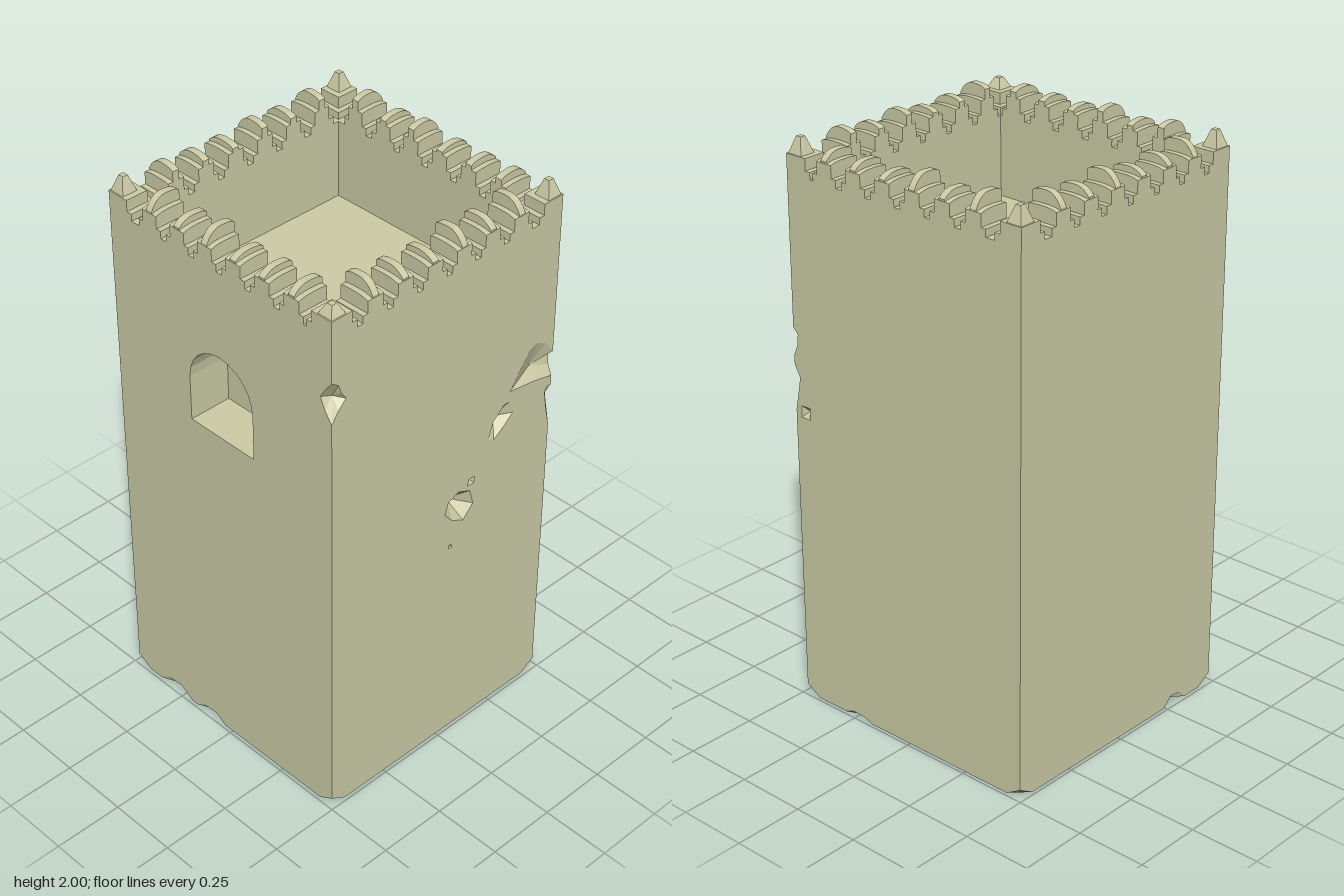
import * as THREE from 'three';

const S = 0.488, IN = 0.377, TOP = 1.88, FLOOR = 1.6;
const stone = new THREE.MeshStandardMaterial({ color: 0xcccca6, flatShading: true, side: THREE.DoubleSide });

// maps from 2D face coordinates to the sides of the tower
const onFront = ([u, v]) => [u, v, S];
const onBack = ([u, v]) => [u, v, -S];
const onRight = ([u, v]) => [S, v, u];
const onLeft = ([u, v]) => [-S, v, u];
const onFloor = ([u, v]) => [u, 0, v];

function createMesh(name, geo) {
  const m = new THREE.Mesh(geo, stone);
  m.name = name;
  return m;
}

// flat polygon with holes, laid onto a side
function panel(name, outline, holes, map) {
  const v2 = (a) => a.map(([x, y]) => new THREE.Vector2(x, y));
  const shape = new THREE.Shape(v2(outline));
  shape.holes = holes.map((h) => new THREE.Path(v2(h)));
  const geo = new THREE.ShapeGeometry(shape);
  const p = geo.attributes.position;
  for (let i = 0; i < p.count; i++) p.setXYZ(i, ...map([p.getX(i), p.getY(i)]));
  geo.computeVertexNormals();
  return createMesh(name, geo);
}

// broken-out hollow: closed rim sinking in two rings to a deepest point
function hollow(name, rim, deep) {
  const pos = [], n = rim.length;
  const mid = rim.map((r) => r.map((c, k) => c + (deep[k] - c) * 0.6));
  for (let i = 0; i < n; i++) {
    const j = (i + 1) % n;
    pos.push(...rim[i], ...rim[j], ...mid[j], ...rim[i], ...mid[j], ...mid[i], ...mid[i], ...mid[j], ...deep);
  }
  const geo = new THREE.BufferGeometry();
  geo.setAttribute('position', new THREE.Float32BufferAttribute(pos, 3));
  geo.computeVertexNormals();
  return createMesh(name, geo);
}

// outline across the wall thickness, extruded to the given width
function ridge(name, w, y0, y1, inner, outer) {
  const h = (S - IN) / 2;
  const s = new THREE.Shape();
  s.moveTo(-h, y0);
  s.lineTo(h, y0);
  s.lineTo(h, y1 - outer);
  s.quadraticCurveTo(h * 0.6, y1, 0, y1);
  s.quadraticCurveTo(-h * 0.8, y1, -h, y1 - inner);
  const geo = new THREE.ExtrudeGeometry(s, { depth: w, bevelEnabled: false, curveSegments: 5 });
  geo.translate(0, 0, -w / 2).rotateY(-Math.PI / 2);
  return createMesh(name, geo);
}

// stepped merlon crossing the wall, outward along +z
function merlon(top) {
  const g = new THREE.Group();
  g.name = 'merlon';
  const base = createMesh('merlonBase', new THREE.BoxGeometry(0.1, 0.026, S - IN));
  base.position.y = TOP + 0.013;
  g.add(base, ridge('merlonStep', 0.063, 1.905, 1.957, 0.004, 0.008),
    ridge('merlonFin', 0.025, 1.95, top, 0.012, top - 1.956));
  return g;
}

export function createModel() {
  const tower = new THREE.Group();
  tower.name = 'tower';
  const body = new THREE.Group();
  body.name = 'body';
  tower.add(body);
  const c = 0.43, ch = 0.035;

  // corner damage: rim points on the front and on the adjoining side, bottom to top
  const rightHigh = {
    front: [[S, 1.265], [0.4, 1.285], [0.29, 1.3], [0.33, 1.36], [0.38, 1.42], [0.41, 1.43], [0.45, 1.41], [S, 1.36]],
    side: [[0.472, 1.3], [0.468, 1.34]], deep: [0.42, 1.32, 0.45]
  };
  const rightLow = {
    front: [[S, 1.07], [0.472, 1.14], [0.46, 1.21], [0.475, 1.235], [S, 1.23]],
    side: [[0.472, 1.15], [0.465, 1.19]], deep: [0.47, 1.18, 0.47]
  };
  const leftNotch = {
    front: [[-S, 1.58], [-0.46, 1.62], [-0.43, 1.65], [-0.45, 1.68], [-0.46, 1.71], [-S, 1.73]],
    side: [[0.46, 1.62], [0.44, 1.66], [0.465, 1.7]], deep: [-0.455, 1.655, 0.455]
  };
  const cornerHollow = (d, map) => body.add(hollow('cornerDamage',
    [...d.front.map(onFront), ...[...d.side].reverse().map(map)], d.deep));
  cornerHollow(rightHigh, onRight);
  cornerHollow(rightLow, onRight);
  cornerHollow(leftNotch, onLeft);
  const sideRim = (d) => [[S, d.front[0][1]], ...d.side, [S, d.front.at(-1)[1]]];

  // pits in the flat of the walls
  const pits = [
    [[0.2, 1.16], [0.22, 1.22], [0.27, 1.262], [0.292, 1.262], [0.31, 1.21], [0.27, 1.175], [0.225, 1.145]],
    [[0.01, 0.955], [0.025, 1.0], [0.07, 1.018], [0.122, 0.995], [0.14, 0.935], [0.095, 0.89], [0.045, 0.915]],
    [[0.11, 1.02], [0.118, 1.043], [0.143, 1.045], [0.14, 1.018]],
    [[0.032, 0.803], [0.032, 0.817], [0.047, 0.817], [0.047, 0.803]]
  ];
  const sidePit = [[0.425, 1.05], [0.425, 1.092], [0.462, 1.09], [0.464, 1.05]];
  const mean = (a, k) => a.reduce((t, p) => t + p[k], 0) / a.length;
  pits.forEach((p, i) => body.add(hollow('pit', p.map(onFront),
    [mean(p, 0), mean(p, 1), S - [0.035, 0.06, 0.02, 0.015][i]])));
  body.add(hollow('pit', sidePit.map(onRight), [S - 0.02, mean(sidePit, 1), mean(sidePit, 0)]));

  // chips along the bottom edges: centre, half width, height
  const chip = (u, w, h) => [[u - w, 0], [u - w * 0.55, h * 0.8], [u + w * 0.4, h], [u + w, 0]];
  const chips = {
    left: [chip(-0.29, 0.08, 0.035), chip(-0.11, 0.07, 0.028)],
    right: [chip(0.24, 0.06, 0.015)],
    back: [chip(-0.3, 0.055, 0.035)]
  };
  const inset = 0.05;
  const addChip = (p, map, floor) => {
    const under = [floor(p[2][0]), floor(p[1][0])];
    const a = map([mean(p, 0), p[2][1] * 0.5]);
    body.add(hollow('bottomChip', [...p.map(map), ...under.map(onFloor)],
      [a[0] * 0.96, a[1], a[2] * 0.96]));
  };
  chips.left.forEach((p) => addChip(p, onLeft, (u) => [-S + inset, u]));
  chips.right.forEach((p) => addChip(p, onRight, (u) => [S - inset * 0.5, u]));
  chips.back.forEach((p) => addChip(p, onBack, (u) => [u, -S + inset]));

  // outer walls
  const wall = (bottom, plus, minus) => [[-S, ch], [-c, 0], ...bottom.flat(), [c, 0], [S, ch],
    ...plus, [S, TOP], [-S, TOP], ...minus];
  body.add(panel('frontWall', wall([], [...rightLow.front, ...rightHigh.front], [...leftNotch.front].reverse()), pits, onFront));
  body.add(panel('rightWall', wall(chips.right, [...sideRim(rightLow), ...sideRim(rightHigh)], []), [sidePit], onRight));
  body.add(panel('backWall', wall(chips.back, [], []), [], onBack));

  // arched window niche in the left wall
  const arch = [[-0.143, 1.26], [0.143, 1.26]];
  for (let i = 0; i <= 12; i++) {
    const a = (i / 12) * Math.PI;
    arch.push([0.143 * Math.cos(a), 1.425 + 0.143 * Math.sin(a)]);
  }
  const depth = 0.155;
  body.add(panel('leftWall', wall(chips.left, sideRim(leftNotch), []), [arch], onLeft));
  body.add(panel('windowBack', arch, [], ([u, v]) => [-S + depth, v, u]));
  const jamb = [];
  arch.forEach(([u, v], i) => {
    const [p, q] = arch[(i + 1) % arch.length];
    const a = [-S, v, u], b = [-S, q, p], d = [-S + depth, q, p], e = [-S + depth, v, u];
    jamb.push(...a, ...b, ...d, ...a, ...d, ...e);
  });
  const jambGeo = new THREE.BufferGeometry();
  jambGeo.setAttribute('position', new THREE.Float32BufferAttribute(jamb, 3));
  jambGeo.computeVertexNormals();
  body.add(createMesh('windowReveal', jambGeo));

  // underside with cut corners
  const b = S - inset;
  const underside = [[-c, S], [c, S], [S, c], [S, 0.3], [S - inset / 2, 0.264], [S - inset / 2, 0.207], [S, 0.18],
    [S, -c], [c, -S], [-0.245, -S], [-0.278, -b], [-0.33, -b], [-0.355, -S], [-c, -S], [-S, -c]];
  chips.left.forEach((p) => underside.push([-S, p[0][0]], [-b, p[1][0]], [-b, p[2][0]], [-S, p[3][0]]));
  underside.push([-S, c]);
  body.add(panel('underside', underside, [], onFloor));
  for (const x of [-1, 1]) for (const z of [-1, 1]) {
    body.add(hollow('cutCorner', [[x * S, ch, z * S], [x * c, 0, z * S], [x * S, 0, z * c]],
      [x * 0.47, 0.012, z * 0.47]));
  }

  // wall top, sunken roof deck and its inner walls
  const square = (r) => [[-r, -r], [r, -r], [r, r], [-r, r]];
  body.add(panel('wallTop', square(S), [square(IN)], ([u, v]) => [u, TOP, v]));
  body.add(panel('roofDeck', square(IN), [], ([u, v]) => [u, FLOOR, v]));
  const strip = [[-IN, FLOOR], [IN, FLOOR], [IN, TOP], [-IN, TOP]];
  for (const s of [-1, 1]) {
    body.add(panel('innerWall', strip, [], ([u, v]) => [u, v, s * IN]));
    body.add(panel('innerWall', strip, [], ([u, v]) => [s * IN, v, u]));
  }

  // battlements: position along the wall and top height
  const along = [[-0.313, 2], [-0.19, 1.985], [-0.067, 1.978], [0.056, 2], [0.179, 1.985], [0.304, 2]];
  const across = [[-0.3, 2], [-0.175, 1.98], [-0.052, 2], [0.073, 1.975], [0.197, 1.98], [0.322, 1.985]];
  const W = (S + IN) / 2;
  for (const s of [-1, 1]) {
    for (const [u, h] of along) {
      const m = merlon(h);
      m.position.set(u, 0, s * W);
      m.rotation.y = s > 0 ? 0 : Math.PI;
      tower.add(m);
    }
    for (const [u, h] of across) {
      const m = merlon(h);
      m.position.set(s * W, 0, u);
      m.rotation.y = (s * Math.PI) / 2;
      tower.add(m);
    }
  }

  // stepped corner posts ending in worn spikes
  for (const x of [-1, 1]) for (const z of [-1, 1]) {
    const post = new THREE.Group();
    post.name = 'cornerPost';
    for (const [from, y0, y1] of [[0.385, TOP, 1.905], [0.405, 1.905, 1.945]]) {
      const step = createMesh('cornerStep', new THREE.BoxGeometry(S - from, y1 - y0, S - from));
      step.position.set((x * (S + from)) / 2, (y0 + y1) / 2, (z * (S + from)) / 2);
      post.add(step);
    }
    const tip = x < 0 && z > 0 ? 1.98 : 2;
    const spike = createMesh('cornerSpike', new THREE.CylinderGeometry(0.014, 0.04, tip - 1.945, 4).rotateY(Math.PI / 4));
    spike.position.set(x * 0.455, (tip + 1.945) / 2, z * 0.455);
    post.add(spike);
    tower.add(post);
  }
  return tower;
}
